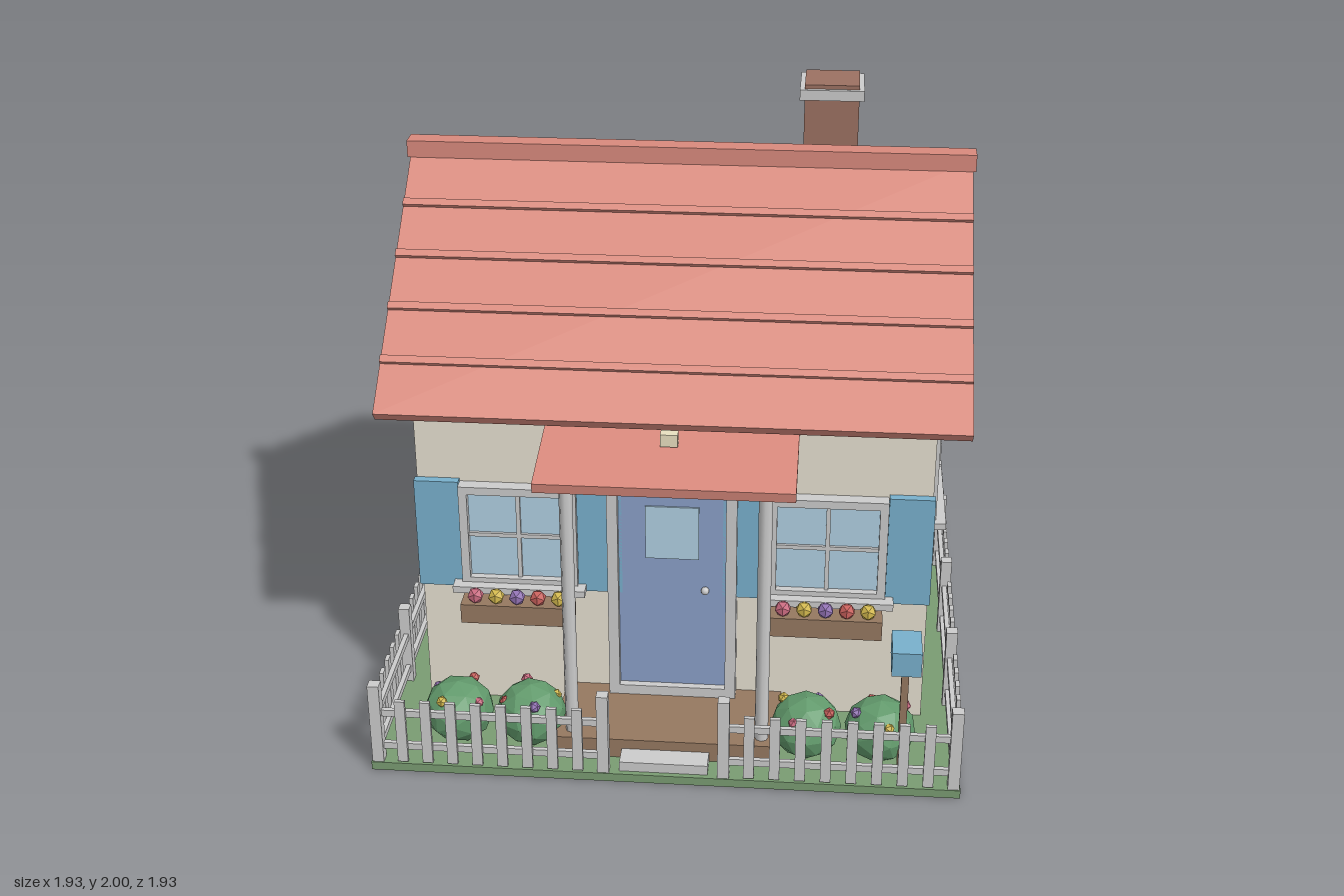
import * as THREE from 'three';

const mat = (color, flatShading = false) => new THREE.MeshStandardMaterial({ color, flatShading });
const M = {
  grey: mat(0xcccccc), wall: mat(0xe6dfd0), roof: mat(0xd98a7d), door: mat(0x8a9fc8),
  shutter: mat(0x78b0cc), glass: mat(0xb0cfe2), wood: mat(0x957860), brick: mat(0x9c7162),
  grass: mat(0x7a9c72), bush: mat(0x629a6c, true), lamp: mat(0xe8e0c0),
};
const petals = [0xc96a80, 0xd2b84e, 0x9272b4, 0xc9605c, 0xd2b84e].map(c => mat(c, true));

function add(parent, name, geometry, material, x = 0, y = 0, z = 0) {
  const m = new THREE.Mesh(geometry, material);
  m.name = name;
  m.position.set(x, y, z);
  parent.add(m);
  return m;
}
const box = (parent, name, material, w, h, d, x, y, z) =>
  add(parent, name, new THREE.BoxGeometry(w, h, d), material, x, y, z);

function group(parent, name, x = 0, y = 0, z = 0, ry = 0) {
  const g = new THREE.Group();
  g.name = name;
  g.position.set(x, y, z);
  g.rotation.y = ry;
  parent.add(g);
  return g;
}

// Rectangular frame with an opening, extruded outward along +z
function frameGeometry(w, h, border, depth) {
  const rect = (C, a, b) => {
    const s = new C();
    s.moveTo(-a, -b); s.lineTo(a, -b); s.lineTo(a, b); s.lineTo(-a, b); s.closePath();
    return s;
  };
  const shape = rect(THREE.Shape, w / 2, h / 2);
  shape.holes.push(rect(THREE.Path, w / 2 - border, h / 2 - border));
  return new THREE.ExtrudeGeometry(shape, { depth, bevelEnabled: false });
}

// Four-pane window facing +z with its back on the wall
function addWindow(parent, name, x, y, z, ry) {
  const g = group(parent, name, x, y, z, ry);
  add(g, 'windowFrame', frameGeometry(0.39, 0.37, 0.028, 0.045), M.grey);
  box(g, 'windowGlass', M.glass, 0.34, 0.32, 0.02, 0, 0, 0.01);
  box(g, 'verticalBar', M.grey, 0.014, 0.32, 0.03, 0, 0, 0.015);
  box(g, 'horizontalBar', M.grey, 0.34, 0.014, 0.03, 0, 0, 0.015);
  box(g, 'windowSill', M.grey, 0.445, 0.024, 0.08, 0, -0.187, 0.04);
  return g;
}

// Straight fence run along local x, posts at the given places
function addFence(parent, name, x, z, ry, posts, pickets) {
  const g = group(parent, name, x, 0, z, ry);
  const first = posts[0], last = posts[posts.length - 1];
  for (const p of posts) box(g, 'fencePost', M.grey, 0.038, 0.295, 0.038, p, 0.177, 0);
  for (const y of [0.085, 0.213])
    box(g, 'fenceRail', M.grey, last - first, 0.024, 0.016, (first + last) / 2, y, -0.004);
  for (let i = 0; i < posts.length - 1; i++) {
    for (let k = 1; k <= pickets; k++) {
      const px = posts[i] + (posts[i + 1] - posts[i]) * k / (pickets + 1);
      box(g, 'picket', M.grey, 0.034, 0.235, 0.014, px, 0.152, 0.011);
    }
  }
}

export function createModel() {
  const house = new THREE.Group();
  house.name = 'cottage';

  box(house, 'lawn', M.grass, 1.935, 0.03, 1.935, 0, 0.015, 0);

  // Walls: gable outline in (z, y), extruded across the width
  const gable = new THREE.Shape();
  gable.moveTo(-0.555, 0.02);
  gable.lineTo(0.82, 0.02);
  gable.lineTo(0.82, 1.215);
  gable.lineTo(0.13, 1.767);
  gable.lineTo(-0.555, 1.219);
  gable.closePath();
  const walls = new THREE.ExtrudeGeometry(gable, { depth: 1.7, bevelEnabled: false });
  walls.translate(0, 0, -0.85);
  walls.rotateY(Math.PI / 2);
  add(house, 'walls', walls, M.wall);

  // Roof slopes with raised tile courses
  for (const ry of [0, Math.PI]) {
    const slope = group(house, ry ? 'backRoof' : 'frontRoof', 0, 1.8, -0.13);
    slope.rotation.set(Math.atan(0.8), ry, 0, 'YXZ');
    box(slope, 'roofSlab', M.roof, 1.91, 0.04, 1.018, 0, -0.02, 0.509);
    for (let i = 0; i < 4; i++)
      box(slope, 'tileCourse', M.roof, 1.91, 0.028, 0.026, 0, 0, 0.23 + i * 0.198);
  }
  box(house, 'ridgeCap', M.roof, 1.93, 0.058, 0.074, 0, 1.8, -0.13);

  // Chimney
  box(house, 'chimney', M.brick, 0.187, 0.6, 0.187, 0.475, 1.7, -0.382);
  box(house, 'chimneyCap', M.grey, 0.22, 0.036, 0.22, 0.475, 1.968, -0.382);

  // Side and back windows
  addWindow(house, 'leftWindow', 0.85, 0.69, -0.145, Math.PI / 2);
  addWindow(house, 'rightWindow', -0.85, 0.69, -0.145, -Math.PI / 2);
  addWindow(house, 'backWindow', 0.3, 0.71, -0.82, Math.PI);

  // Front windows with shutters and flower boxes
  for (const s of [-1, 1]) {
    const g = addWindow(house, 'frontWindow', s * 0.512, 0.69, 0.555, 0);
    for (const t of [-1, 1])
      box(g, 'shutter', M.shutter, 0.148, 0.395, 0.03, t * 0.27, -0.003, 0.015);
    box(g, 'flowerBox', M.wood, 0.375, 0.07, 0.085, 0, -0.245, 0.093);
    for (let i = 0; i < 5; i++)
      add(g, 'flower', new THREE.IcosahedronGeometry(0.029, 0), petals[i], (i - 2) * 0.07, -0.187, 0.11);
  }

  // Door
  const door = group(house, 'frontDoor', 0, 0.56, 0.555);
  add(door, 'doorFrame', frameGeometry(0.43, 0.92, 0.036, 0.055), M.grey);
  box(door, 'doorPanel', M.door, 0.365, 0.89, 0.03, 0, -0.015, 0.015);
  box(door, 'doorWindow', M.glass, 0.178, 0.195, 0.012, 0, 0.168, 0.03);
  add(door, 'doorKnob', new THREE.SphereGeometry(0.014, 12, 8), M.grey, 0.11, -0.045, 0.04);

  // Porch
  box(house, 'porchDeck', M.wood, 0.74, 0.08, 0.32, 0, 0.06, 0.715);
  box(house, 'porchStep', M.grey, 0.29, 0.04, 0.1, 0, 0.045, 0.9);
  for (const s of [-1, 1])
    add(house, 'porchPost', new THREE.CylinderGeometry(0.022, 0.022, 0.97, 8), M.grey, s * 0.315, 0.575, 0.825);
  box(house, 'porchRoof', M.roof, 0.82, 0.034, 0.348, 0, 1.074, 0.725).rotation.x = 0.178;
  box(house, 'porchLamp', M.lamp, 0.056, 0.042, 0.036, 0, 1.122, 0.678);

  // Bushes with blossoms
  [-0.705, -0.46, 0.46, 0.705].forEach((x, i) => {
    const g = group(house, 'bush', x, 0.125, 0.775, i * 0.8);
    add(g, 'leaves', new THREE.IcosahedronGeometry(0.118, 1), M.bush).scale.y = 0.92;
    for (let k = 0; k < 4; k++) {
      const a = k * Math.PI / 2 + 0.5;
      add(g, 'blossom', new THREE.IcosahedronGeometry(0.02, 0), petals[(i + k) % 4],
        0.085 * Math.cos(a), 0.055 + 0.02 * (k % 2), 0.085 * Math.sin(a));
    }
  });

  // Mailbox
  box(house, 'mailboxPost', M.wood, 0.024, 0.42, 0.024, 0.775, 0.23, 0.855);
  box(house, 'mailbox', M.shutter, 0.095, 0.086, 0.138, 0.775, 0.472, 0.853);

  // Picket fence, open at the front gate
  const bays = [-0.945, -0.4725, 0, 0.4725, 0.945];
  addFence(house, 'backFence', 0, -0.945, Math.PI, bays, 5);
  addFence(house, 'leftFence', 0.945, 0, Math.PI / 2, bays, 5);
  addFence(house, 'rightFence', -0.945, 0, -Math.PI / 2, bays, 5);
  addFence(house, 'frontFenceLeft', 0, 0.945, 0, [0.197, 0.945], 8);
  addFence(house, 'frontFenceRight', 0, 0.945, 0, [-0.945, -0.197], 8);

  return house;
}
